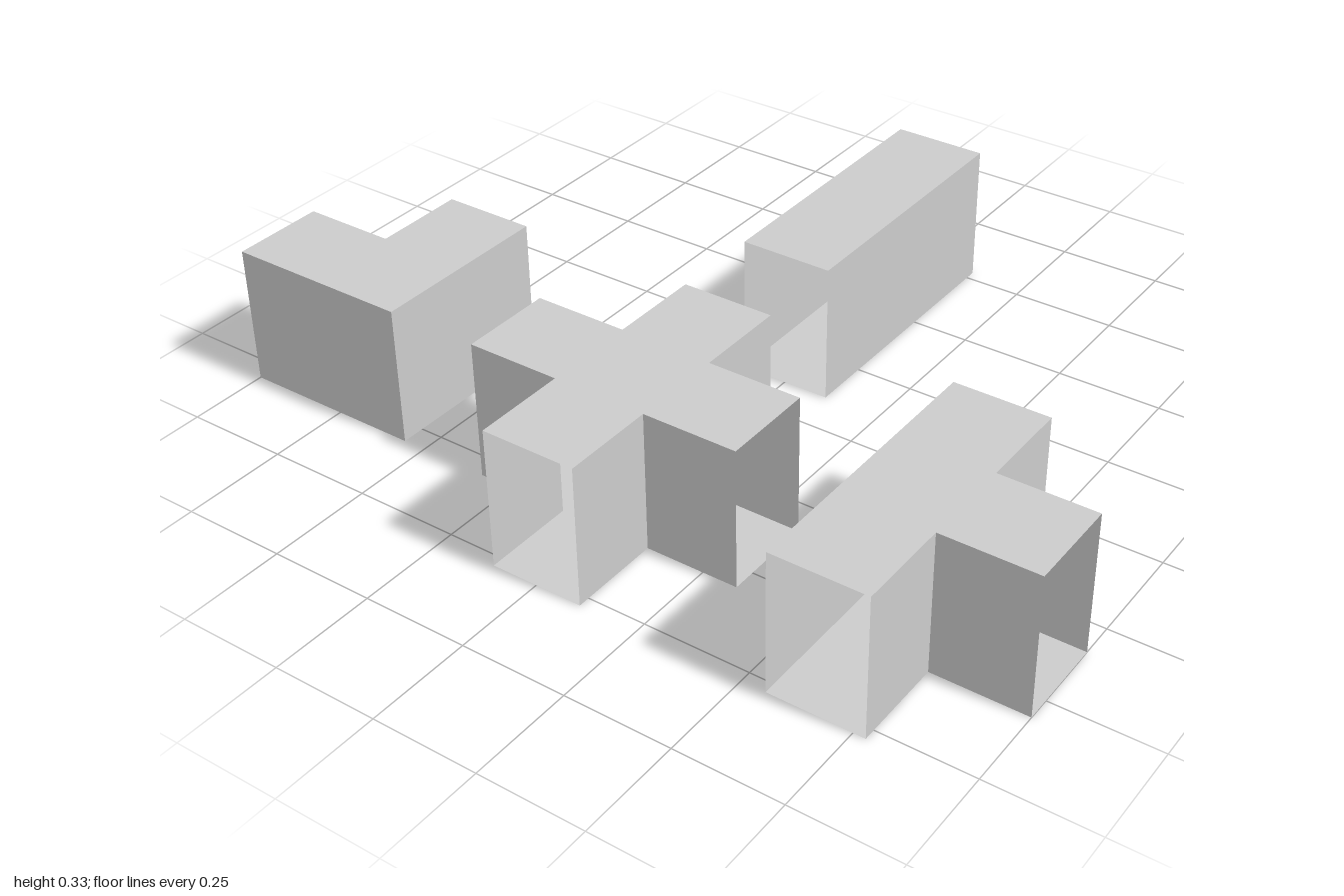
import * as THREE from 'three';
import { mergeGeometries } from 'three/addons/utils/BufferGeometryUtils.js';

const HALF = 1 / 9;      // half the passage width
const REACH = 3 / 9;     // arm length from the piece's centre
const HEIGHT = 3 / 9;

// Arm directions, counter-clockwise seen from above
const RIGHT = 0, BACK = 1, LEFT = 2, FRONT = 3;

// Plan outline (x, -z) of a junction; "open" marks the edge leaving a point as an open mouth
function outline(arms) {
  const points = [];
  for (let dir = 0; dir < 4; dir++) {
    const add = (along, across, open = false) => {
      const p = new THREE.Vector2(along, across)
        .rotateAround(new THREE.Vector2(), dir * Math.PI / 2);
      points.push({ p, open });
    };
    add(HALF, -HALF);
    if (arms.includes(dir)) {
      add(REACH, -HALF, true);
      add(REACH, HALF);
    }
  }
  // Drop points in the middle of a straight wall
  return points.filter(({ p }, i) => {
    const a = points.at(i - 1).p, b = points[(i + 1) % points.length].p;
    return Math.abs(p.clone().sub(a).cross(b.clone().sub(p))) > 1e-6;
  });
}

// Thin-walled passage: floor, ceiling and side walls, open at the end of every arm
function passage(arms) {
  const points = outline(arms);
  const plan = points.map(({ p }) => p);
  const mirrored = plan.map((p) => new THREE.Vector2(p.x, -p.y));
  const parts = [
    new THREE.ShapeGeometry(new THREE.Shape(plan)).rotateX(-Math.PI / 2).translate(0, HEIGHT, 0),
    new THREE.ShapeGeometry(new THREE.Shape(mirrored)).rotateX(Math.PI / 2),
  ];
  points.forEach(({ p, open }, i) => {
    if (open) return;
    const q = plan[(i + 1) % plan.length];
    const wall = new THREE.PlaneGeometry(p.distanceTo(q), HEIGHT);
    wall.rotateY(Math.atan2(q.y - p.y, q.x - p.x));
    wall.translate((p.x + q.x) / 2, HEIGHT / 2, -(p.y + q.y) / 2);
    parts.push(wall);
  });
  return mergeGeometries(parts);
}

export function createModel() {
  const group = new THREE.Group();
  const material = new THREE.MeshStandardMaterial({
    color: 0xcccccc, flatShading: true, side: THREE.DoubleSide,
  });
  const pieces = [
    ['straightPassage', [FRONT, BACK], 0, -4 / 9],
    ['cornerPassage', [LEFT, BACK], -6 / 9, 4 / 9],
    ['crossPassage', [RIGHT, BACK, LEFT, FRONT], 0, 4 / 9],
    ['teePassage', [RIGHT, BACK, FRONT], 6 / 9, 4 / 9],
  ];
  for (const [name, arms, x, z] of pieces) {
    const mesh = new THREE.Mesh(passage(arms), material);
    mesh.name = name;
    mesh.position.set(x, 0, z);
    group.add(mesh);
  }
  return group;
}
